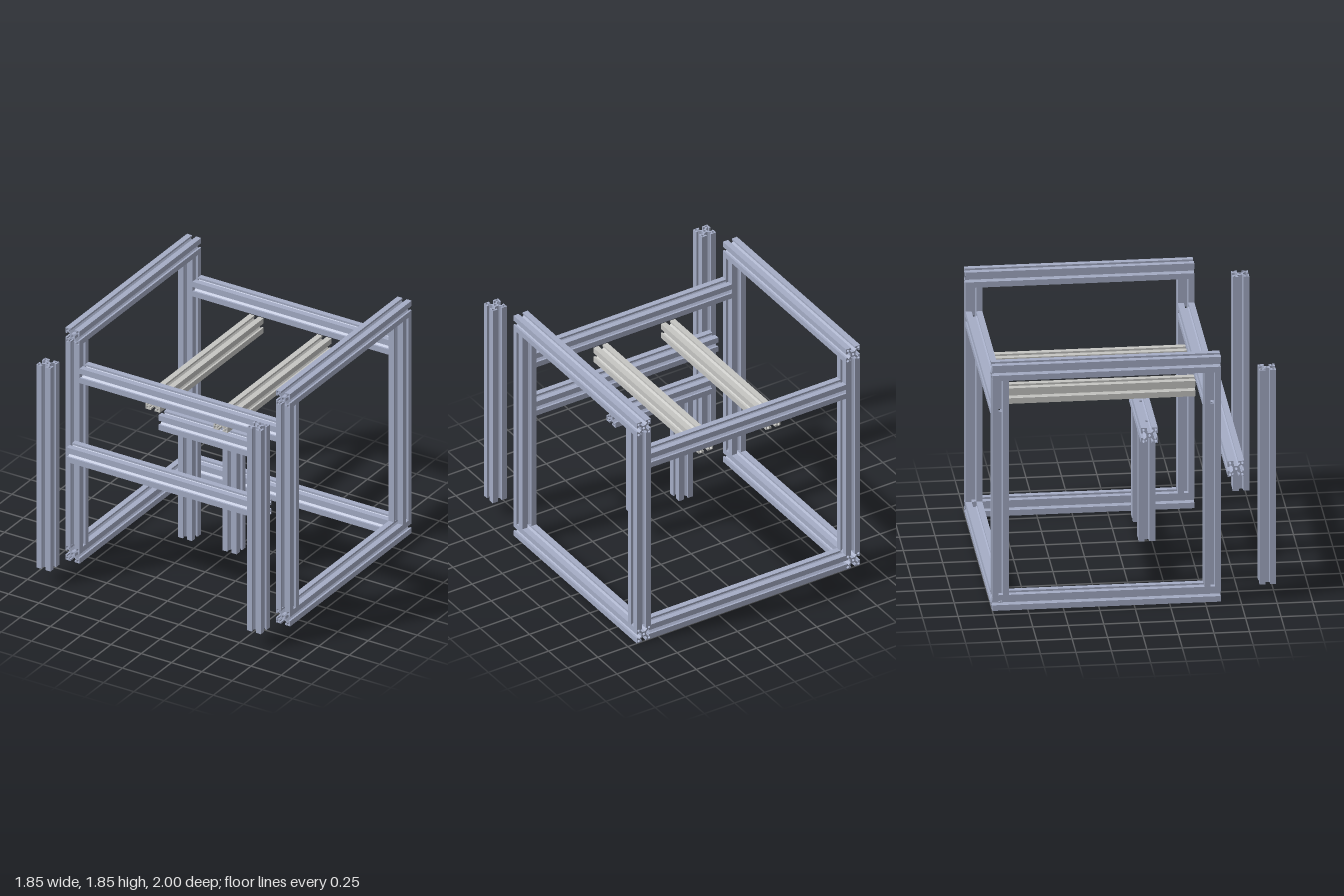
import * as THREE from 'three';
import { mergeGeometries } from 'three/addons/utils/BufferGeometryUtils.js';

const S = 0.117;          // width of the square slotted section
const HOLE = 0.0125;      // half size of a drilled access hole

// Outline of the slotted section: one side, turned four times
const side = [[0.5, 0.5], [0.14, 0.5], [0.14, 0.38], [0.24, 0.38], [0.24, 0.31], [0.1, 0.17],
  [-0.1, 0.17], [-0.24, 0.31], [-0.24, 0.38], [-0.14, 0.38], [-0.14, 0.5]];
const outline = [];
for (let k = 0; k < 4; k++) {
  for (const [x, y] of side) {
    outline.push([[x, y], [-y, x], [-x, -y], [y, -x]][k]);
  }
}

function circle(x, y, r) {
  const path = new THREE.Path();
  path.absarc(x * S, y * S, r * S, 0, Math.PI * 2, true);
  return path;
}

// Part of the section on the given side of each axis (0 keeps both sides)
function sectionPart(sx, sy) {
  const keep = ([x, y]) => (!sx || x * sx > 0) && (!sy || y * sy > 0);
  // start at the first kept point after a gap, so the outline stays in order
  const n = outline.length;
  let start = 0;
  for (let i = 0; i < n; i++) {
    if (keep(outline[i]) && !keep(outline[(i + n - 1) % n])) start = i;
  }
  const pts = outline.map((_, i) => outline[(start + i) % n]).filter(keep);
  const shape = new THREE.Shape(pts.map(([x, y]) => new THREE.Vector2(x * S, y * S)));
  for (const c of [[1, 1], [-1, 1], [-1, -1], [1, -1]]) {
    if (keep(c)) shape.holes.push(circle(c[0] * 0.37, c[1] * 0.37, 0.085));
  }
  if (!sx && !sy) shape.holes.push(circle(0, 0, 0.09));
  return shape;
}

// Section shapes by the direction of the drilled hole
const sections = {
  none: [sectionPart(0, 0)],
  x: [sectionPart(0, 1), sectionPart(0, -1)],
  y: [sectionPart(1, 0), sectionPart(-1, 0)],
  xy: [sectionPart(1, 1), sectionPart(-1, 1), sectionPart(-1, -1), sectionPart(1, -1)],
};

// Bar along an axis from a to b; holes are [position, direction]
function barGeometry(axis, a, b, holes) {
  const parts = [];
  const run = (from, to, kind) => {
    const g = new THREE.ExtrudeGeometry(sections[kind], { depth: to - from, bevelEnabled: false, curveSegments: 12 });
    parts.push(g.translate(0, 0, from));
  };
  let at = a;
  for (const [p, dir] of [...holes].sort((u, v) => u[0] - v[0])) {
    run(at, p - HOLE, 'none');
    run(p - HOLE, p + HOLE, dir);
    at = p + HOLE;
  }
  run(at, b, 'none');
  const g = mergeGeometries(parts);
  if (axis === 'x') g.rotateY(Math.PI / 2);
  if (axis === 'y') g.rotateX(-Math.PI / 2);
  return g;
}

export function createModel() {
  const model = new THREE.Group();
  model.name = 'slottedBarFrame';
  const blue = new THREE.MeshStandardMaterial({ color: 0xa5adc6 });
  blue.name = 'blueGreyMetal';
  const grey = new THREE.MeshStandardMaterial({ color: 0xc6c6c3 });
  grey.name = 'lightGreyMetal';

  function bar(name, axis, a, b, [x, y, z], holes = [], material = blue) {
    const mesh = new THREE.Mesh(barGeometry(axis, a, b, holes), material);
    mesh.name = name;
    mesh.position.set(x, y, z);
    model.add(mesh);
  }

  const X = 0.8685;                    // side frame centre
  const BACK = -0.9415, FRONT = 0.5535; // post centres in z
  const LOW = S / 2, HIGH = 1.7955;    // rail centres in y

  for (const s of [-1, 1]) {
    const label = s > 0 ? 'left' : 'right';
    // Side frames
    bar(label + 'TopRail', 'z', -1, 0.612, [s * X, HIGH, 0], [[BACK, 'y'], [FRONT, 'y']]);
    bar(label + 'BottomRail', 'z', -1, 0.612, [s * X, LOW, 0], [[BACK, 'xy'], [FRONT, 'y']]);
    bar(label + 'BackPost', 'y', S, 1.737, [s * X, 0, BACK], [[1.5, 'x']]);
    bar(label + 'FrontPost', 'y', S, 1.737, [s * X, 0, FRONT], [[1.5, 'x']]);
    // Free-standing posts ahead of the frame
    bar(label + 'DetachedPost', 'y', S, 1.737, [s * X, 0, 0.9415]);
    // Pale bars hung between the upper cross bars
    bar(label + 'InnerRail', 'z', -0.883, 0.495, [s * 0.28, 1.379, 0], [[0.37, 'y']], grey);
    // Legs of the inner stand
    bar(label + 'StandLeg', 'y', 0.197, 1.005, [s * 0.184, 0, 0.164]);
  }

  // Cross bars
  bar('upperFrontCrossBar', 'x', -0.81, 0.81, [0, 1.5, FRONT]);
  bar('upperBackCrossBar', 'x', -0.81, 0.81, [0, 1.5, BACK]);
  bar('bottomBackCrossBar', 'x', -0.81, 0.81, [0, LOW, BACK]);
  bar('detachedCrossBar', 'x', -0.81, 0.81, [0, 0.953, 0.73]);
  bar('standTop', 'x', -0.403, 0.403, [0, 1.0635, 0.164], [[-0.184, 'y'], [0.184, 'y']]);

  return model;
}
